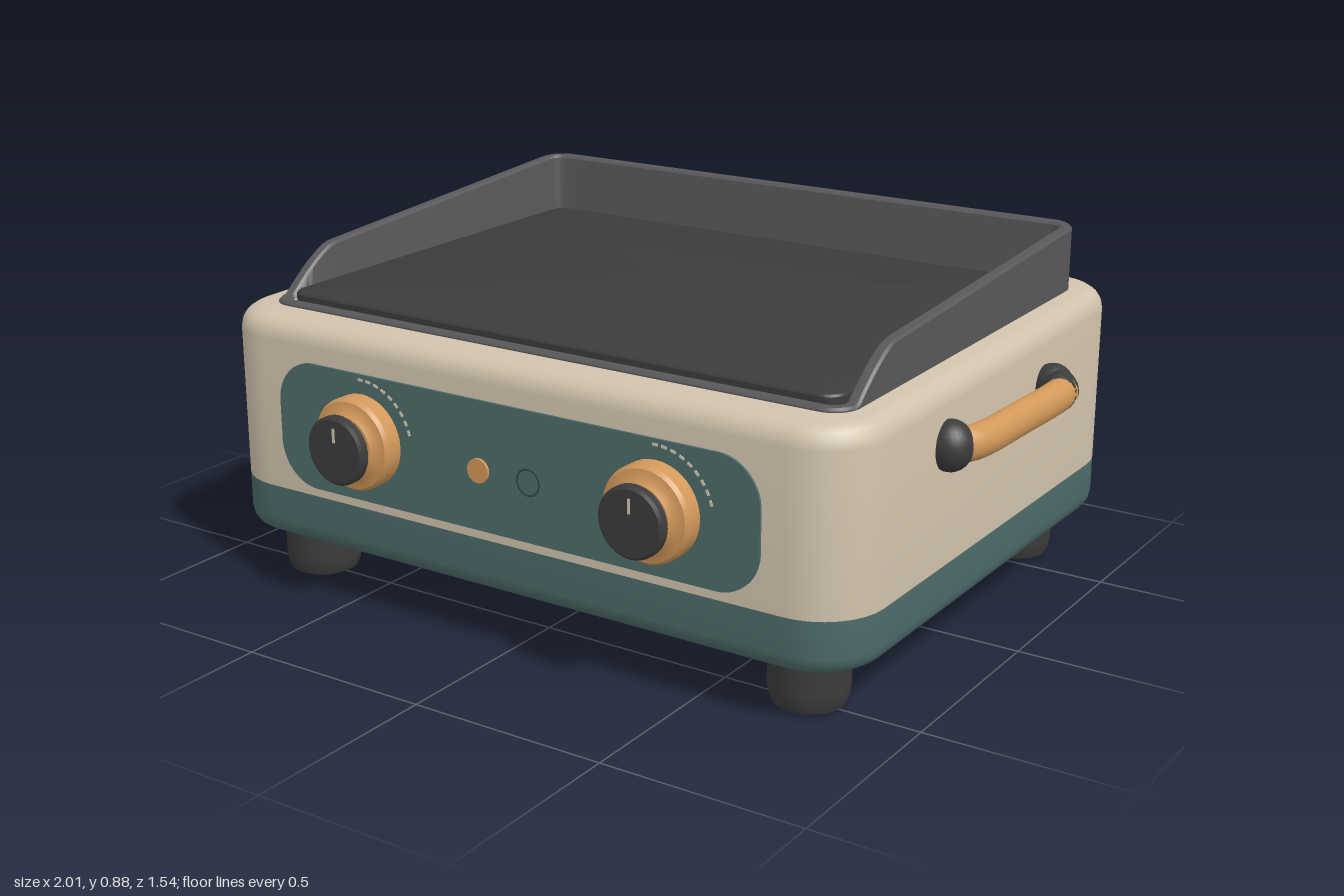
import * as THREE from 'three';
import { toCreasedNormals } from 'three/addons/utils/BufferGeometryUtils.js';

const paint = (name, color, side = THREE.FrontSide) => {
  const m = new THREE.MeshStandardMaterial({ color, side });
  m.name = name;
  return m;
};

// Rounded rectangle loop in plan, counter-clockwise from above
function planLoop(hx, zBack, zFront, r, sub) {
  const pts = [];
  const corners = [[hx - r, zBack + r], [-hx + r, zBack + r], [-hx + r, zFront - r], [hx - r, zFront - r]];
  corners.forEach(([cx, cz], c) => {
    for (let i = 0; i <= 8; i++) {
      const a = (c + i / 8) * Math.PI / 2;
      pts.push([cx + r * Math.cos(a), cz - r * Math.sin(a)]);
    }
  });
  const out = [];
  pts.forEach((p, i) => {
    const q = pts[(i + 1) % pts.length];
    const n = i % 9 === 8 ? sub : 1;
    for (let k = 0; k < n; k++) out.push([p[0] + (q[0] - p[0]) * k / n, p[1] + (q[1] - p[1]) * k / n]);
  });
  return out;
}

// Skin a stack of inset loops; each ring is [inset, height or height(z)]
function loft({ hx, back, front, r, sub = 1 }, rings, capBottom, capTop) {
  const pos = [], idx = [];
  let n = 0;
  for (const [inset, y] of rings) {
    const loop = planLoop(hx - inset, back + inset, front - inset, Math.max(r - inset, 0.012), sub);
    n = loop.length;
    for (const [x, z] of loop) pos.push(x, typeof y === 'function' ? y(z) : y, z);
  }
  for (let k = 0; k < rings.length - 1; k++) {
    for (let j = 0; j < n; j++) {
      const a = k * n + j, b = k * n + (j + 1) % n;
      idx.push(a, b, b + n, a, b + n, a + n);
    }
  }
  const cap = (k, up) => {
    const mid = (back + front) / 2, y = rings[k][1], c = pos.length / 3;
    pos.push(0, typeof y === 'function' ? y(mid) : y, mid);
    for (let j = 0; j < n; j++) {
      const a = k * n + j, b = k * n + (j + 1) % n;
      if (up) idx.push(c, a, b); else idx.push(c, b, a);
    }
  };
  if (capBottom) cap(0, false);
  if (capTop) cap(rings.length - 1, true);
  const g = new THREE.BufferGeometry();
  g.setAttribute('position', new THREE.Float32BufferAttribute(pos, 3));
  g.setIndex(idx);
  return toCreasedNormals(g, 0.6);
}

const turned = (profile) => toCreasedNormals(
  new THREE.LatheGeometry(profile.map(([x, y]) => new THREE.Vector2(x, y)), 40), 0.6);

export function createModel() {
  const model = new THREE.Group();
  model.name = 'tabletopGriddle';
  const cream = paint('cream enamel', 0xd0c2ac);
  const teal = paint('teal enamel', 0x4e6c6b);
  const darkTeal = paint('dark teal', 0x2f4a4a);
  const black = paint('black', 0x3c3c3c);
  const steel = paint('grey steel', 0x58585a, THREE.DoubleSide);
  const wood = paint('warm wood', 0xd3995a);

  const add = (name, geo, mat, x = 0, y = 0, z = 0, parent = model) => {
    const m = new THREE.Mesh(geo, mat);
    m.name = name;
    m.position.set(x, y, z);
    parent.add(m);
    return m;
  };

  // Housing: teal base tray and cream shell whose top rises slightly to the back
  const plan = { hx: 0.9, back: -0.77, front: 0.66, r: 0.16 };
  const top = (z) => 0.7 + (0.66 - z) * 0.013;
  const bevel = (r) => [0, 1, 2, 3, 4].map((i) => {
    const a = i / 4 * Math.PI / 2;
    return [r * (1 - Math.cos(a)), r * (1 - Math.sin(a))];
  });
  const baseRings = bevel(0.045).reverse().map(([i, d]) => [i, 0.133 + d]);
  add('baseTray', loft(plan, [...baseRings, [0, 0.267]], true, false), teal);
  const shellRings = bevel(0.05).map(([i, d]) => [i, (z) => top(z) - d]);
  add('shell', loft(plan, [[0, 0.267], ...shellRings], false, true), cream);

  // Splash guard: tall at the back, sweeping down to a low front lip
  const guardTop = (z) => {
    if (z < 0.33) return 0.816 + (0.33 - z) * 0.066;
    const t = Math.min((z - 0.33) / 0.16, 1);
    return 0.711 + 0.105 * (1 - Math.pow(t, 1.4));
  };
  const guard = { hx: 0.82, back: -0.66, front: 0.55, r: 0.065, sub: 48 };
  add('splashGuard', loft(guard, [
    [0, 0.69], [0, (z) => guardTop(z) - 0.006], [0.006, guardTop],
    [0.026, guardTop], [0.032, (z) => guardTop(z) - 0.006], [0.045, 0.695],
  ]), steel);

  // Cooking plate
  const plate = { hx: 0.78, back: -0.625, front: 0.515, r: 0.045 };
  add('cookingPlate', loft(plate, [[0, 0.69], [0, 0.722], [0.004, 0.727], [0.014, 0.73]], false, true), black);

  // Feet
  const footGeo = turned([[0, 0], [0.07, 0], [0.085, 0.008], [0.092, 0.025], [0.095, 0.05], [0.095, 0.15]]);
  for (const x of [-0.72, 0.72]) for (const z of [0.5, -0.58]) add('foot', footGeo, black, x, 0, z);

  // Control panel
  const roundedPanel = (w, h, r) => {
    const s = new THREE.Shape();
    s.moveTo(w - r, -h);
    s.absarc(w - r, -h + r, r, -Math.PI / 2, 0);
    s.absarc(w - r, h - r, r, 0, Math.PI / 2);
    s.absarc(-w + r, h - r, r, Math.PI / 2, Math.PI);
    s.absarc(-w + r, -h + r, r, Math.PI, Math.PI * 1.5);
    return new THREE.ExtrudeGeometry(s, { depth: 0.008, bevelEnabled: false, curveSegments: 10 });
  };
  add('controlPanel', roundedPanel(0.685, 0.16, 0.11), teal, 0, 0.45, 0.658);

  // Knobs with wooden collars, pointer marks and scale ticks
  const collarGeo = turned([[0.115, 0], [0.115, 0.045], [0.108, 0.055], [0.088, 0.058], [0.075, 0.07], [0, 0.07]]).rotateX(Math.PI / 2);
  const knobGeo = turned([[0.068, 0], [0.068, 0.03], [0.085, 0.035], [0.085, 0.052], [0.078, 0.058], [0, 0.058]]).rotateX(Math.PI / 2);
  const tickGeo = new THREE.BoxGeometry(0.014, 0.006, 0.003);
  for (const x of [-0.42, 0.42]) {
    const dial = new THREE.Group();
    dial.name = 'dial';
    dial.position.set(x, 0.447, 0.66);
    model.add(dial);
    add('collar', collarGeo, wood, 0, 0, 0, dial);
    add('knob', knobGeo, black, 0, 0, 0.052, dial);
    add('pointer', new THREE.BoxGeometry(0.007, 0.035, 0.004), cream, 0, 0.04, 0.11, dial);
    for (let i = 0; i < 9; i++) {
      const a = 0.3 + i * 0.16;
      add('tick', tickGeo, cream, 0.15 * Math.cos(a), 0.15 * Math.sin(a), 0.007, dial).rotation.z = a + Math.PI / 2;
    }
  }

  // Indicator lights
  const lightGeo = new THREE.CylinderGeometry(0.03, 0.03, 0.014, 24).rotateX(Math.PI / 2);
  add('powerLight', lightGeo, wood, -0.07, 0.44, 0.666);
  add('readyLight', lightGeo, teal, 0.075, 0.44, 0.664);
  add('readyLightRing', new THREE.RingGeometry(0.029, 0.034, 32), darkTeal, 0.075, 0.44, 0.6715);

  // Side handles: wooden grip held by black rounded mounts
  for (const s of [1, -1]) {
    const handle = new THREE.Group();
    handle.name = s > 0 ? 'leftHandle' : 'rightHandle';
    handle.position.y = 0.562;
    handle.scale.y = 1.12;
    model.add(handle);
    const tube = (name, pts, r, mat) => add(name, new THREE.TubeGeometry(
      new THREE.CatmullRomCurve3(pts.map(([x, z]) => new THREE.Vector3(s * x, 0, z))), 24, r, 16), mat, 0, 0, 0, handle);
    const ball = (x, z, r) => add('mountEnd', new THREE.SphereGeometry(r, 24, 16), black, s * x, 0, z, handle);
    tube('grip', [[0.955, -0.29], [0.963, -0.24], [0.957, 0], [0.95, 0.15], [0.935, 0.2], [0.905, 0.225]], 0.037, wood);
    tube('rearMount', [[0.88, -0.3], [0.925, -0.295], [0.95, -0.275], [0.96, -0.25]], 0.046, black);
    ball(0.925, -0.295, 0.052);
    ball(0.955, -0.262, 0.042);
    tube('frontMount', [[0.87, 0.23], [0.9, 0.228], [0.915, 0.224]], 0.052, black);
    ball(0.91, 0.227, 0.054);
  }

  return model;
}
